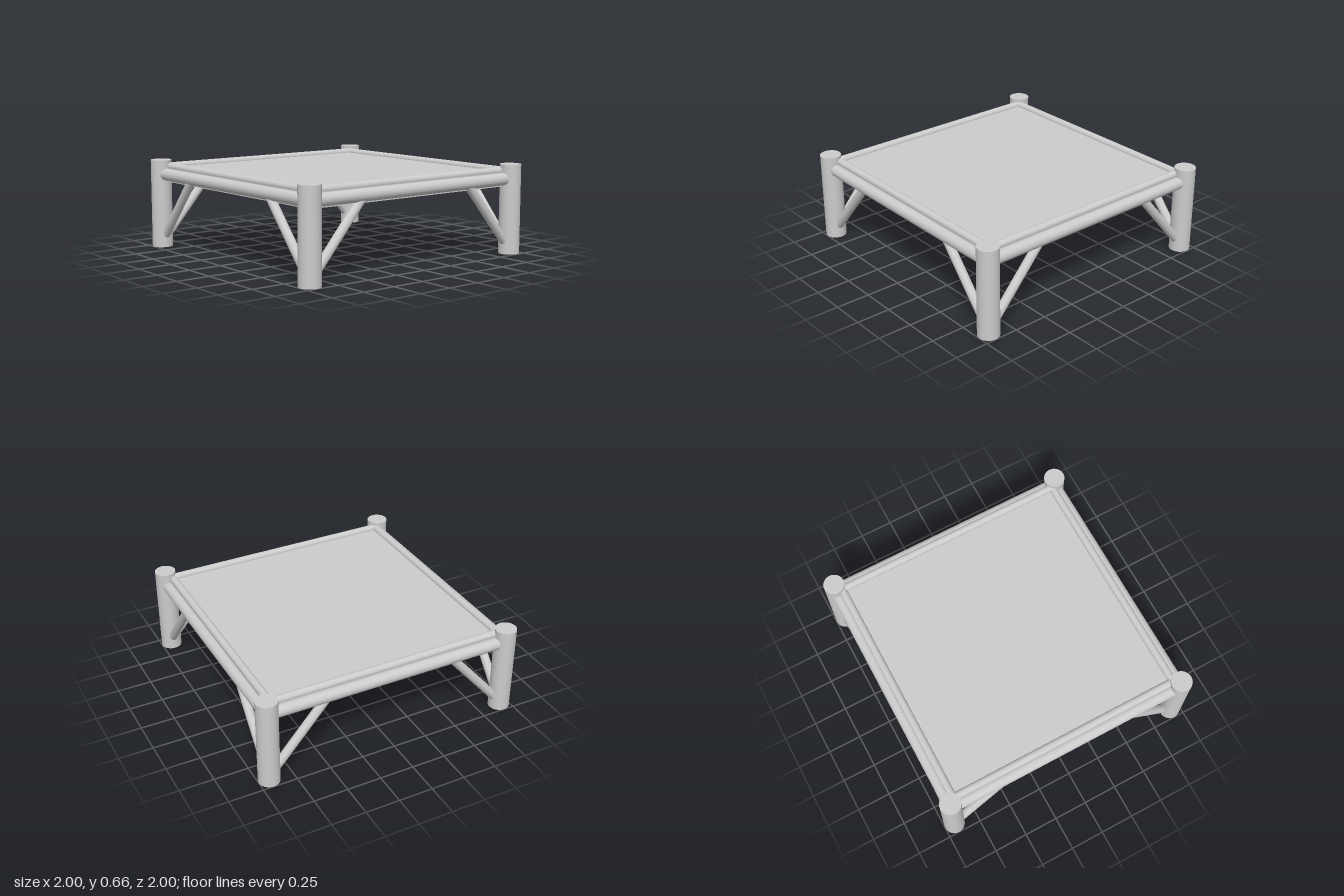
import * as THREE from 'three';

const LEG = 0.923;      // leg axis offset in x and z
const LEG_R = 0.077;
const HEIGHT = 0.66;
const RAIL_Y = 0.553;

export function createModel() {
  const model = new THREE.Group();
  const mat = new THREE.MeshStandardMaterial({ color: 0xcccccc });
  const openMat = new THREE.MeshStandardMaterial({ color: 0xcccccc, side: THREE.DoubleSide });

  const add = (parent, name, geometry, material = mat) => {
    const mesh = new THREE.Mesh(geometry, material);
    mesh.name = name;
    parent.add(mesh);
    return mesh;
  };

  // Round bar between two points
  const bar = (parent, name, a, b, radius) => {
    const from = new THREE.Vector3(...a), to = new THREE.Vector3(...b);
    const dir = to.clone().sub(from);
    const mesh = add(parent, name, new THREE.CylinderGeometry(radius, radius, dir.length(), 32));
    mesh.position.copy(from).add(to).multiplyScalar(0.5);
    mesh.quaternion.setFromUnitVectors(new THREE.Vector3(0, 1, 0), dir.normalize());
    return mesh;
  };

  // Flat top slab, its edges buried in the rails
  add(model, 'tabletop', new THREE.BoxGeometry(1.82, 0.11, 1.82)).position.y = 0.552;

  // Four identical sides, each with one leg, a rail, a rim and two braces
  for (let i = 0; i < 4; i++) {
    const side = new THREE.Group();
    side.name = 'side' + (i + 1);
    side.rotation.y = i * Math.PI / 2;
    model.add(side);

    // Hollow leg with a closed top
    const leg = add(side, 'leg',
      new THREE.CylinderGeometry(LEG_R, LEG_R, HEIGHT, 48, 1, true), openMat);
    leg.position.set(LEG, HEIGHT / 2, LEG);
    const cap = add(side, 'legTop', new THREE.CircleGeometry(LEG_R, 48));
    cap.rotation.x = -Math.PI / 2;
    cap.position.set(LEG, HEIGHT, LEG);

    // Thick rail and thinner raised rim
    bar(side, 'rail', [-LEG, RAIL_Y, LEG], [LEG, RAIL_Y, LEG], 0.045);
    bar(side, 'rim', [-0.882, 0.61, 0.882], [0.882, 0.61, 0.882], 0.029);

    // Diagonal braces from leg foot to rail
    for (const s of [-1, 1]) {
      bar(side, 'brace', [s * LEG, 0.033, LEG], [s * 0.477, 0.55, LEG], 0.032);
    }
  }
  return model;
}
